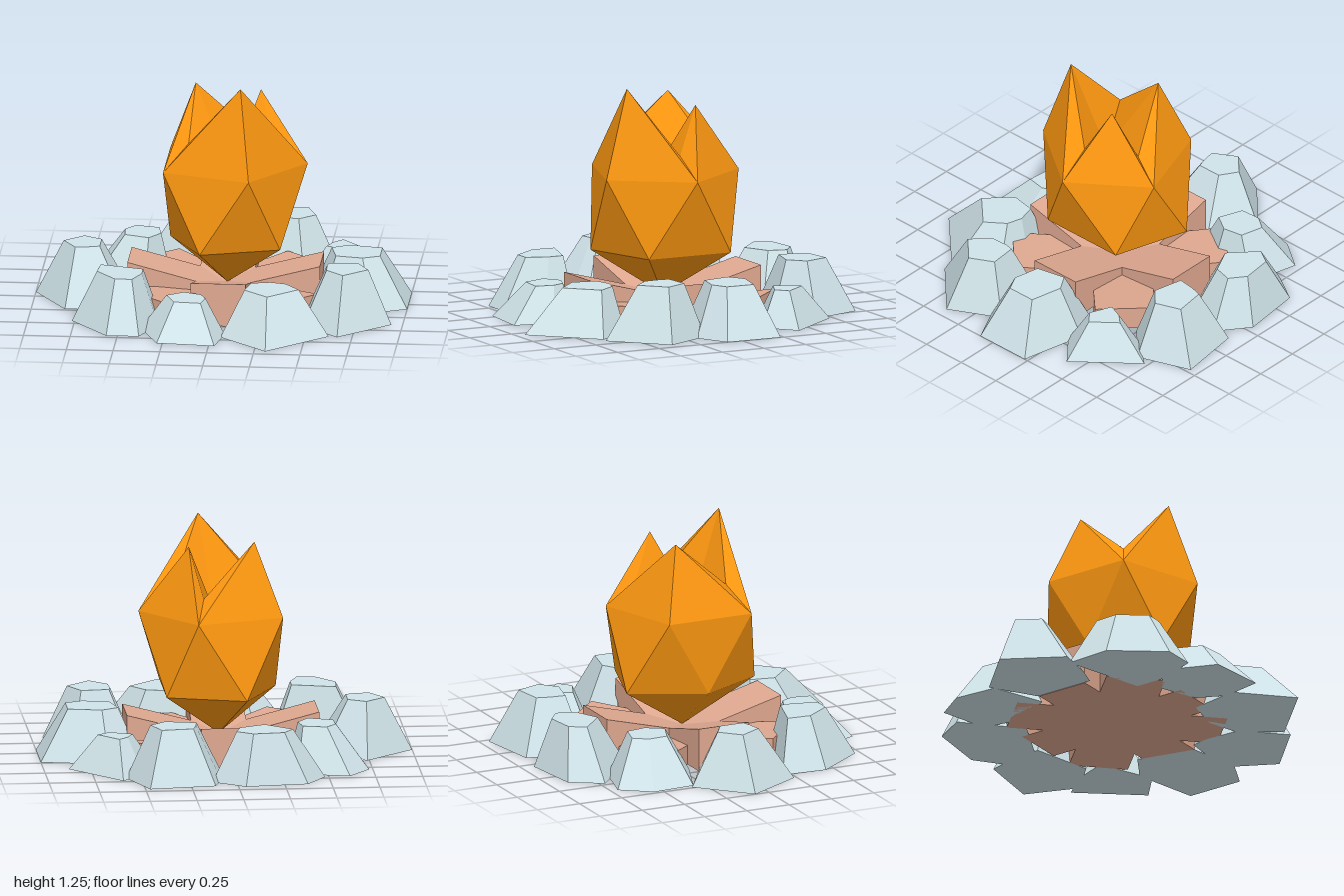
import * as THREE from 'three';
import { ConvexGeometry } from 'three/addons/geometries/ConvexGeometry.js';

const material = (color) => new THREE.MeshStandardMaterial({ color, flatShading: true });
const stoneMat = material(0xcfe3e8);
const logMat = material(0xdfa890);
const flameMat = material(0xfa9610);

// Stone: flat-topped hull from a ground outline [x, z, ...] and a shrunken copy around the top centre
function stone(height, topX, topZ, shrink, outline) {
  const base = [];
  for (let i = 0; i < outline.length; i += 2) base.push(new THREE.Vector3(outline[i], 0, outline[i + 1]));
  const mean = base.reduce((sum, p) => sum.add(p), new THREE.Vector3()).divideScalar(base.length);
  const top = base.map((p) => p.clone().sub(mean).multiplyScalar(shrink).add(new THREE.Vector3(topX, height, topZ)));
  return new THREE.Mesh(new ConvexGeometry([...base, ...top]), stoneMat);
}

// Log: block running outward from the centre, its top rising from inner to outer end
function log(length, width, innerHeight, outerHeight, angle) {
  const side = new THREE.Shape([
    new THREE.Vector2(0, 0), new THREE.Vector2(length, 0),
    new THREE.Vector2(length, outerHeight), new THREE.Vector2(0, innerHeight),
  ]);
  const geometry = new THREE.ExtrudeGeometry(side, { depth: width, bevelEnabled: false });
  geometry.translate(0, 0, -width / 2);
  const mesh = new THREE.Mesh(geometry, logMat);
  mesh.rotation.y = angle;
  return mesh;
}

// Flame: faceted ball whose top opens into three peaks around a hollow
function flame() {
  const upper = [[0.46, -0.01], [0.17, -0.405], [-0.295, -0.25], [-0.295, 0.235], [0.175, 0.39]].map(([x, z]) => [x, 0.77, z]);
  const lower = [[0.33, -0.275], [-0.09, -0.405], [-0.275, -0.01], [-0.09, 0.35], [0.33, 0.215]].map(([x, z]) => [x, 0.35, z]);
  const bottom = [0.03, 0.1, -0.02];
  const hollow = [0.05, 0.75, 0.05];
  const valleyRight = [0.275, 0.885, 0], valleyBack = [0.13, 0.88, -0.255], valleyLeft = [-0.165, 0.91, 0.145];
  const peakFront = [0.12, 1.245, 0.24], peakRight = [0.2, 1.14, -0.13], peakLeft = [-0.15, 1.165, -0.145];
  const [u0, u1, u2, u3, u4] = upper;
  const faces = [
    [u0, u1, peakRight], [u1, u2, peakLeft], [u2, u3, peakLeft], [u3, u4, peakFront], [u4, u0, peakFront],
    [u0, peakRight, valleyRight], [u0, valleyRight, peakFront],
    [u1, valleyBack, peakRight], [u1, peakLeft, valleyBack],
    [u3, valleyLeft, peakLeft], [u3, peakFront, valleyLeft],
  ];
  // Body bands and underside
  for (let i = 0; i < 5; i++) {
    const j = (i + 1) % 5;
    faces.push([upper[i], lower[i], upper[j]], [lower[i], lower[j], upper[j]], [lower[i], bottom, lower[j]]);
  }
  // Inside of the crown
  const rim = [valleyRight, peakRight, valleyBack, peakLeft, valleyLeft, peakFront];
  rim.forEach((p, i) => faces.push([hollow, p, rim[(i + 1) % rim.length]]));

  const geometry = new THREE.BufferGeometry();
  geometry.setAttribute('position', new THREE.Float32BufferAttribute(faces.flat(2), 3));
  geometry.computeVertexNormals();
  const mesh = new THREE.Mesh(geometry, flameMat);
  mesh.name = 'flame';
  return mesh;
}

export function createModel() {
  const model = new THREE.Group();
  model.name = 'campfire';

  // Ring of stones
  const stones = new THREE.Group();
  stones.name = 'stoneRing';
  stones.add(
    stone(0.29, -0.73, -0.05, 0.4, [-1, -0.08, -0.74, -0.33, -0.5, -0.18, -0.5, 0.16, -0.62, 0.2, -0.82, 0.235]),
    stone(0.27, -0.5, 0.44, 0.52, [-0.75, 0.2, -0.765, 0.45, -0.56, 0.72, -0.385, 0.72, -0.3, 0.5, -0.3, 0.33]),
    stone(0.185, -0.13, 0.59, 0.46, [-0.39, 0.56, -0.28, 0.84, 0.03, 0.87, 0.07, 0.65, 0, 0.5, -0.2, 0.42]),
    stone(0.235, 0.3, 0.54, 0.5, [0.05, 0.7, 0.31, 0.95, 0.625, 0.64, 0.47, 0.43, 0.3, 0.38, 0.1, 0.43]),
    stone(0.29, 0.67, 0.32, 0.47, [0.48, 0.15, 0.8, 0.12, 0.94, 0.39, 0.67, 0.65, 0.47, 0.45, 0.46, 0.25]),
    stone(0.27, 0.72, -0.06, 0.5, [1, -0.23, 0.64, -0.31, 0.46, -0.2, 0.53, 0.12, 0.82, 0.18, 1, 0.09]),
    stone(0.19, 0.61, -0.46, 0.4, [0.6, -0.73, 0.865, -0.41, 0.7, -0.27, 0.4, -0.4, 0.48, -0.6]),
    stone(0.29, 0.31, -0.7, 0.48, [0.12, -0.9, 0.475, -0.95, 0.58, -0.66, 0.4, -0.49, 0.06, -0.57, 0.08, -0.75]),
    stone(0.27, -0.14, -0.75, 0.5, [-0.375, -0.89, -0.04, -0.93, 0.13, -0.8, 0.08, -0.6, -0.2, -0.46, -0.48, -0.72]),
    stone(0.24, -0.46, -0.46, 0.46, [-0.615, -0.71, -0.34, -0.64, -0.3, -0.4, -0.43, -0.2, -0.715, -0.31, -0.73, -0.55]),
  );
  stones.children.forEach((s, i) => { s.name = `stone${i + 1}`; });

  // Four raised logs in a cross, four lower ones between them
  const logs = new THREE.Group();
  logs.name = 'logs';
  logs.position.set(0.02, 0, -0.025);
  for (let i = 0; i < 4; i++) {
    const raised = log(0.515, 0.295, 0.1, 0.235, (i * Math.PI) / 2);
    raised.name = `raisedLog${i + 1}`;
    const low = log(0.57, 0.32, 0.07, 0.125, (i + 0.5) * Math.PI / 2);
    low.name = `lowLog${i + 1}`;
    logs.add(raised, low);
  }

  model.add(stones, logs, flame());
  return model;
}
